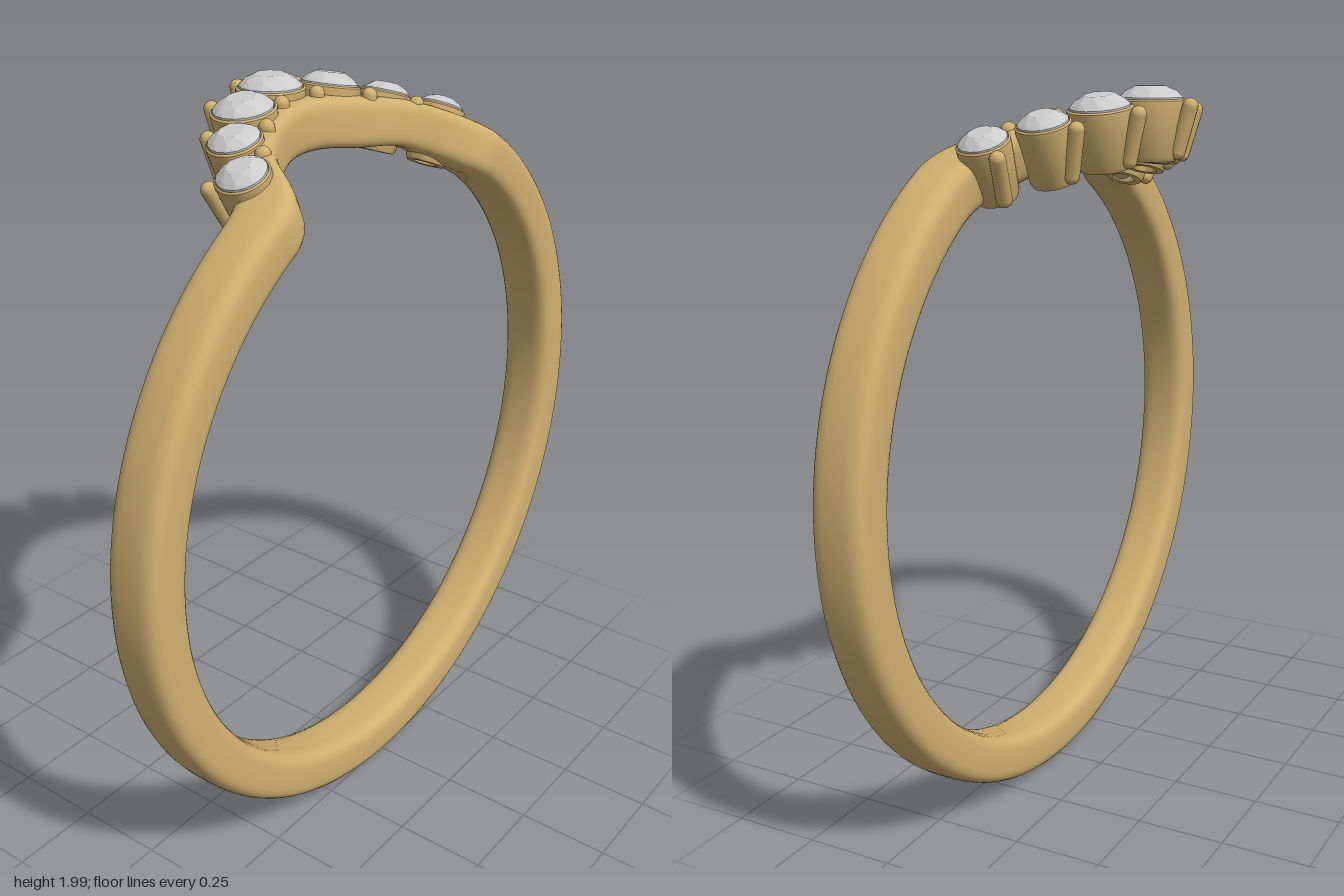
import * as THREE from 'three';
import { toCreasedNormals } from 'three/addons/utils/BufferGeometryUtils.js';
import { ConvexGeometry } from 'three/addons/geometries/ConvexGeometry.js';

const CY = 0.975; // height of the ring's centre
const INNER = 0.83, OUTER = 0.967;

// Band edges in x against distance z from the crown of the ring
const Z = [-0.1, 0, 0.1, 0.18, 0.25, 0.3, 0.34, 0.38, 0.43, 0.48, 0.54];
const RIGHT = [0.005, -0.01, 0.005, 0.04, 0.085, 0.135, 0.2, 0.25, 0.275, 0.277, 0.277];
const LEFT = [-0.1, -0.11, -0.1, -0.07, -0.03, 0.005, 0.04, 0.075, 0.105, 0.12, 0.122];
const spline = (values) => {
  const curve = new THREE.CubicInterpolant(Z, values, 1, new Float32Array(1));
  return (z) => curve.evaluate(Math.min(z, 0.5399))[0];
};

// Closed loop of rounded sections, swept round the finger and bent at the top
function bandGeometry() {
  const N = 260, M = 32, pos = [], index = [];
  const right = spline(RIGHT), left = spline(LEFT);
  const round = (c) => Math.sign(c) * Math.abs(c) ** 0.55;
  for (let i = 0; i < N; i++) {
    const t = (i / N) * Math.PI * 2;
    const z = Math.cos(t) > 0 ? Math.abs(Math.sin(t)) * 0.9 : 1;
    const xr = right(z), xl = left(z);
    const bump = Math.exp(-(((z - 0.29) / 0.075) ** 2));
    const r0 = INNER + 0.024 * bump;
    const r1 = OUTER + 0.012 * bump;
    for (let j = 0; j < M; j++) {
      const a = (j / M) * Math.PI * 2;
      const x = (xl + xr) / 2 + round(Math.cos(a)) * (xr - xl) / 2;
      const r = (r0 + r1) / 2 + round(Math.sin(a)) * (r1 - r0) / 2;
      pos.push(x, CY + r * Math.cos(t), r * Math.sin(t));
      const p = i * M + j, q = i * M + (j + 1) % M;
      const p2 = ((i + 1) % N) * M + j, q2 = ((i + 1) % N) * M + (j + 1) % M;
      index.push(p, q, p2, q, q2, p2);
    }
  }
  const g = new THREE.BufferGeometry();
  g.setAttribute('position', new THREE.Float32BufferAttribute(pos, 3));
  g.setIndex(index);
  g.computeVertexNormals();
  return g;
}

// Round brilliant of unit-free radius r, girdle at y = 0
function gemGeometry(r) {
  const pts = [new THREE.Vector3(0, -0.75 * r, 0)];
  const ring = (n, radius, y, turn) => {
    for (let i = 0; i < n; i++) {
      const a = ((i + turn) / n) * Math.PI * 2;
      pts.push(new THREE.Vector3(Math.cos(a) * radius, y, Math.sin(a) * radius));
    }
  };
  ring(16, r, -0.004, 0);
  ring(16, r, 0.004, 0);
  ring(8, 0.8 * r, 0.24 * r, 0.5);
  ring(8, 0.5 * r, 0.4 * r, 0);
  return new ConvexGeometry(pts);
}

// Hollow tapered cup, rim just at the girdle and open underneath
function cupGeometry(r) {
  const depth = 0.155;
  const profile = [
    [0.42, -depth + 0.012], [0.5, -depth], [0.78, -depth], [0.87, -depth + 0.012],
    [1.06, -0.012], [1.06, 0], [0.99, 0.004], [0.92, -0.012], [0.42, -0.75 * r],
    [0.42, -depth + 0.012],
  ].map(([k, y]) => new THREE.Vector2(k * r, y));
  return toCreasedNormals(new THREE.LatheGeometry(profile, 36), 0.7);
}

// Point at x, sideways z and distance rho from the finger axis
const onRing = (x, z, rho) => new THREE.Vector3(x, CY + Math.sqrt(rho * rho - z * z), z);

export function createModel() {
  const model = new THREE.Group();
  const gold = new THREE.MeshStandardMaterial({ color: 0xd0b070, side: THREE.DoubleSide });
  const stone = new THREE.MeshStandardMaterial({ color: 0xcccccc, flatShading: true });
  const add = (parent, geometry, material, name) => {
    const mesh = new THREE.Mesh(geometry, material);
    mesh.name = name;
    parent.add(mesh);
    return mesh;
  };

  add(model, bandGeometry(), gold, 'band');

  // Graduated stones in cups, each tilted to point away from the finger
  const GIRDLE = 0.985;
  const setting = (x, z, r) => {
    const tilt = new THREE.Group();
    tilt.name = 'stoneSetting';
    tilt.position.set(x, CY, 0);
    tilt.rotation.x = Math.asin(z / GIRDLE);
    add(tilt, cupGeometry(r), gold, 'cup').position.y = GIRDLE;
    add(tilt, gemGeometry(r * 0.97), stone, 'gem').position.y = GIRDLE + 0.004;
    model.add(tilt);
  };

  // Round-tipped prong from tip to foot
  const prong = (tip, foot, r, name) => {
    const dir = tip.clone().sub(foot);
    const mesh = add(model, new THREE.CapsuleGeometry(r, dir.length(), 6, 14), gold, name);
    mesh.position.copy(tip).add(foot).multiplyScalar(0.5);
    mesh.quaternion.setFromUnitVectors(new THREE.Vector3(0, 1, 0), dir.normalize());
  };

  // [x, z, radius] of stones; [tip x, tip z, foot x, foot z] of outer prongs
  const stones = [[-0.147, 0, 0.087], [-0.09, 0.178, 0.081], [-0.003, 0.317, 0.068], [0.108, 0.421, 0.066]];
  const outer = [[-0.26, 0, -0.225, 0], [-0.197, 0.176, -0.165, 0.162],
    [-0.093, 0.31, -0.065, 0.285], [0.042, 0.463, 0.06, 0.405]];
  const inner = [[-0.052, 0.073], [0.015, 0.216], [0.092, 0.325]];
  for (const side of [1, -1]) {
    stones.forEach(([x, z, r]) => (z || side > 0) && setting(x, z * side, r));
    outer.forEach(([x, z, fx, fz]) => (z || side > 0) &&
      prong(onRing(x, z * side, 0.972), onRing(fx, fz * side, 0.855), 0.021, 'outerProng'));
    inner.forEach(([x, z]) =>
      prong(onRing(x, z * side, 0.973), onRing(x, z * side * 0.95, 0.9), 0.021, 'innerProng'));
  }
  return model;
}
